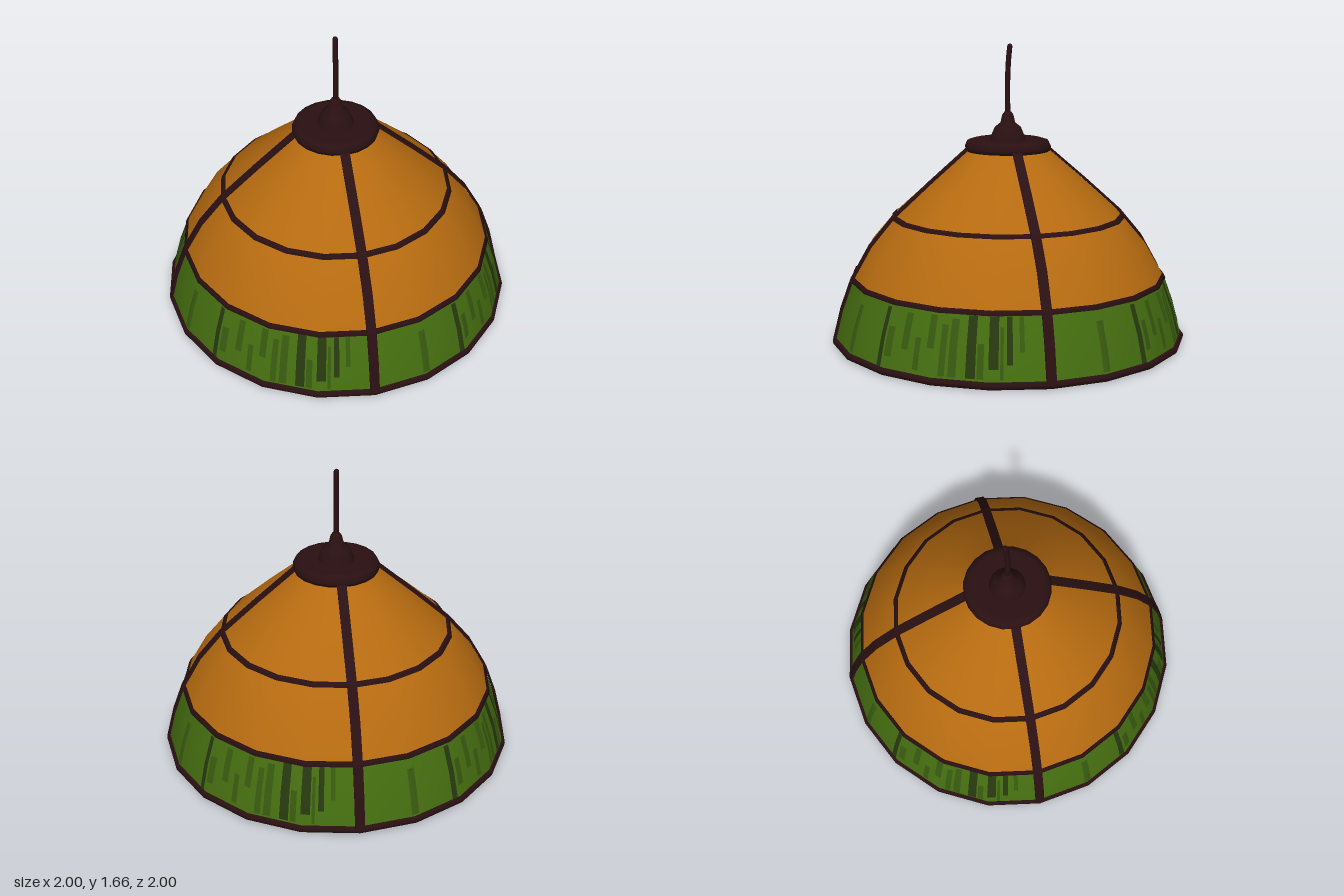
import * as THREE from 'three';

const SIDES = 20;
const STEP = (Math.PI * 2) / SIDES;
const DEG = Math.PI / 180;

// Shade profile [radius, height], from rim to cap
const PROFILE = [[0.985, 0.02], [0.94, 0.2], [0.88, 0.365], [0.775, 0.55], [0.645, 0.705], [0.44, 0.89], [0.22, 1.08]];

const v2 = (list) => list.map(([x, y]) => new THREE.Vector2(x, y));

function radiusAt(y) {
  for (let i = 1; i < PROFILE.length; i++) {
    const [r0, y0] = PROFILE[i - 1], [r1, y1] = PROFILE[i];
    if (y <= y1) return r0 + ((r1 - r0) * (y - y0)) / (y1 - y0);
  }
  return PROFILE[PROFILE.length - 1][0];
}

// Thin plate that follows the flat-sided shade between two angles (degrees)
function streakGeometry(a0, a1, y0, y1, offset) {
  const pos = [], index = [], n = 4;
  for (let i = 0; i <= n; i++) {
    const a = (a0 + ((a1 - a0) * i) / n) * DEG;
    const local = a - Math.floor(a / STEP) * STEP - STEP / 2;
    const facet = Math.cos(STEP / 2) / Math.cos(local);
    for (let j = 0; j <= 2; j++) {
      // the ends taper in a little
      const y = y0 + ((y1 - y0) * j) / 2;
      const r = radiusAt(y) * facet + offset;
      pos.push(Math.sin(a) * r, y, Math.cos(a) * r);
      if (i < n && j < 2) {
        const k = i * 3 + j;
        index.push(k, k + 3, k + 1, k + 3, k + 4, k + 1);
      }
    }
  }
  const g = new THREE.BufferGeometry();
  g.setAttribute('position', new THREE.Float32BufferAttribute(pos, 3));
  g.setIndex(index);
  g.computeVertexNormals();
  return g;
}

export function createModel() {
  const model = new THREE.Group();
  model.name = 'pendantLamp';

  const material = (name, color) => {
    const m = new THREE.MeshStandardMaterial({ color, side: THREE.DoubleSide });
    m.name = name;
    return m;
  };
  const amber = material('amberGlass', 0xb56a10);
  const green = material('greenGlass', 0x456e10);
  const midGreen = material('mediumGreenStreak', 0x38590f);
  const darkGreen = material('darkGreenStreak', 0x26380f);
  const metal = material('darkMetal', 0x2a1012);

  const add = (name, geometry, mat, parent = model) => {
    const mesh = new THREE.Mesh(geometry, mat);
    mesh.name = name;
    parent.add(mesh);
    return mesh;
  };
  const lathe = (name, points, mat, sides = SIDES) => add(name, new THREE.LatheGeometry(v2(points), sides), mat);

  // Glass shade: green skirt below, amber dome above
  lathe('greenSkirt', PROFILE.slice(0, 3), green);
  lathe('amberDome', PROFILE.slice(2), amber);

  // Rim and the two lead seams
  lathe('rim', [[0.965, 0.03], [0.97, 0.004], [0.985, 0], [0.998, 0.008], [1, 0.025], [0.988, 0.04], [0.965, 0.036], [0.965, 0.03]], metal);
  for (const [name, y, h, out, inn] of [['lowerSeam', 0.365, 0.012, 0.008, 0.003], ['upperSeam', 0.705, 0.01, 0.007, 0.007]]) {
    const lo = radiusAt(y - h), hi = radiusAt(y + h);
    lathe(name, [[lo - inn, y - h], [lo + out, y - h], [hi + out, y + h], [hi - inn, y + h], [lo - inn, y - h]], metal);
  }

  // Four lead ribs running down the outside
  const ribOutline = [
    ...PROFILE.map(([r, y]) => [r + 0.012, y + 0.006]),
    ...PROFILE.slice().reverse().map(([r, y]) => [r + 0.002, y + 0.001]),
  ];
  const ribGeometry = new THREE.ExtrudeGeometry(new THREE.Shape(v2(ribOutline)), { depth: 0.052, bevelEnabled: false });
  ribGeometry.translate(0, 0, -0.026);

  // Streaks in the green glass: [start, end, bottom, top, material]
  const streaks = [
    [-25.5, -22.5, 0.05, 0.35, darkGreen],
    [-22, -20, 0.05, 0.22, midGreen],
    [-18.5, -15.5, 0.1, 0.35, darkGreen],
    [-15, -14, 0.05, 0.3, midGreen],
    [-13, -11.2, 0.12, 0.35, darkGreen],
    [-9, -7.5, 0.18, 0.35, midGreen],
    [-31, -28.5, 0.05, 0.33, midGreen],
    [17, 19.5, 0.05, 0.3, midGreen],
    [33, 35, 0.04, 0.34, darkGreen],
    [36, 38.5, 0.1, 0.25, midGreen],
    [42, 44.5, 0.15, 0.33, midGreen],
    [47, 49, 0.06, 0.22, midGreen],
    [51.5, 54, 0.18, 0.34, midGreen],
    [56, 58, 0.05, 0.3, midGreen],
  ];
  for (let q = 0; q < 4; q++) {
    add('rib', ribGeometry, metal).rotation.y = (q * Math.PI) / 2;
    const group = new THREE.Group();
    group.name = 'glassStreaks';
    group.rotation.y = (q * Math.PI) / 2;
    model.add(group);
    for (const [a0, a1, y0, y1, mat] of streaks) {
      // one plate on the outer face and one on the inner face
      for (const offset of [0.003, -0.003]) add('streak', streakGeometry(a0, a1, y0, y1, offset), mat, group);
    }
  }

  // Stepped cap and cord holder
  lathe('cap', [[0, 1.06], [0.235, 1.065], [0.243, 1.09], [0.228, 1.122], [0.195, 1.132], [0.17, 1.122], [0.1, 1.125]], metal);
  lathe('cordHolder', [[0.102, 1.115], [0.098, 1.14], [0.075, 1.195], [0.042, 1.222], [0.032, 1.265], [0.02, 1.283], [0, 1.286]], metal, 16);

  // Slightly bent hanging cord with a rounded end
  const cordPath = new THREE.CatmullRomCurve3([
    new THREE.Vector3(0, 1.26, 0), new THREE.Vector3(0, 1.42, 0.002),
    new THREE.Vector3(0, 1.56, -0.003), new THREE.Vector3(0, 1.645, -0.011),
  ]);
  add('cord', new THREE.TubeGeometry(cordPath, 12, 0.015, 8), metal);
  add('cordEnd', new THREE.SphereGeometry(0.015, 8, 6), metal).position.set(0, 1.645, -0.011);

  // Bulb on a thin stem, with a green underside
  add('bulbStem', new THREE.CylinderGeometry(0.03, 0.03, 0.63, 12), amber).position.y = 0.765;
  add('bulb', new THREE.SphereGeometry(0.1, 20, 12, 0, Math.PI * 2, 0, Math.PI * 0.72), amber).position.y = 0.385;
  add('bulbTip', new THREE.SphereGeometry(0.1, 20, 5, 0, Math.PI * 2, Math.PI * 0.72, Math.PI * 0.28), green).position.y = 0.385;

  return model;
}
